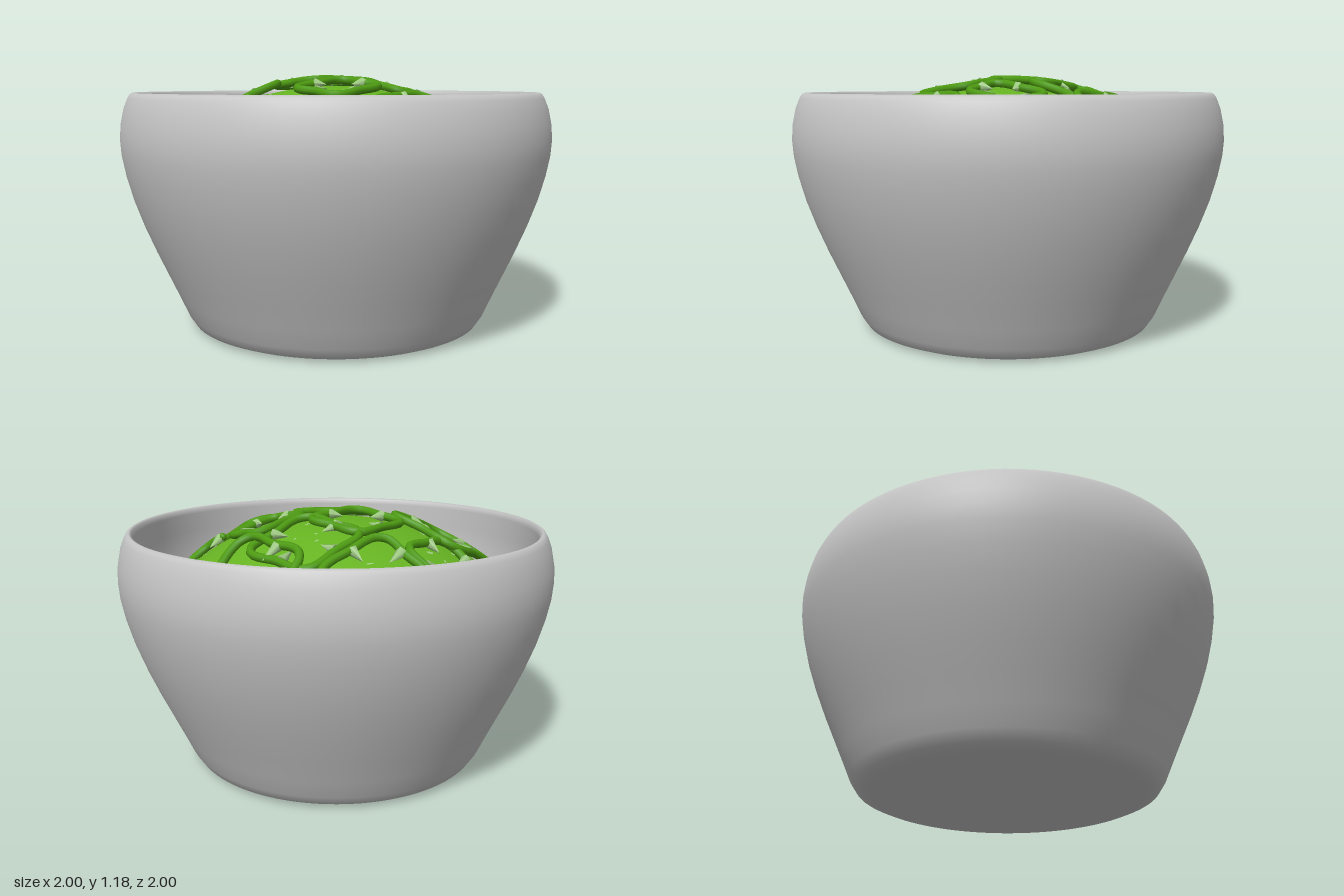
import * as THREE from 'three';

const mat = (name, color) => Object.assign(new THREE.MeshStandardMaterial({ color }), { name });
const bowlGrey = mat('bowl grey', 0xc6c6c6);
const leafGreen = mat('leaf green', 0x66b322);
const skinGreen = mat('pepper skin green', 0x4d9a12);
const paleGreen = mat('pale pith green', 0xa0cc84);

// Mound of greens: half an ellipsoid
const R = 0.82, BASE = 0.63, RISE = 0.5;
function height(x, z) {
  const r = Math.min(Math.hypot(x, z), 0.8);
  return BASE + RISE * Math.sqrt(1 - (r / R) ** 2);
}
function slope(x, z) {
  const k = -(RISE * RISE) / (R * R * (height(x, z) - BASE));
  return [k * x, k * z];
}

function mesh(name, geometry, material) {
  const m = new THREE.Mesh(geometry, material);
  m.name = name;
  return m;
}

function lathe(points, segments) {
  return new THREE.LatheGeometry(points.map(([x, y]) => new THREE.Vector2(x, y)), segments);
}

let seed = 7;
function random() {
  seed = (seed * 16807) % 2147483647;
  return seed / 2147483647;
}

// A four-lobed pepper slice lying on the mound, with pith ribs pointing inward
function pepperRing({ at: [cx, cz], half: [w, d], lift = 0.012, arc = null, turn = 0 }) {
  const group = new THREE.Group();
  group.name = 'pepperRing';
  const tube = 0.019;
  const [sx, sz] = slope(cx, cz);
  const top = height(cx, cz);
  const place = (a, scale = 1) => {
    const c = Math.cos(a), s = Math.sin(a);
    const squircle = 1 / (c ** 4 + s ** 4) ** 0.25;
    const lobe = (squircle - 0.055 * Math.cos(4 * a) + 0.025 * Math.sin(3 * a + cx * 9)) * scale;
    const u = c * lobe * (w - tube), v = s * lobe * (d - tube);
    const dx = u * Math.cos(turn) - v * Math.sin(turn);
    const dz = u * Math.sin(turn) + v * Math.cos(turn);
    const x = cx + dx, z = cz + dz;
    const plane = top + sx * dx + sz * dz;
    return new THREE.Vector3(x, plane * 0.6 + height(x, z) * 0.4 + lift, z);
  };
  const [from, to] = arc ?? [0, Math.PI * 2];
  const count = 28, points = [];
  for (let i = 0; i < count; i++) {
    points.push(place(from + (to - from) * i / (arc ? count - 1 : count)));
  }
  const curve = new THREE.CatmullRomCurve3(points, !arc);
  group.add(mesh('pepperSkin', new THREE.TubeGeometry(curve, 72, tube, 8, !arc), skinGreen));
  if (arc) {
    for (const end of [points[0], points[count - 1]]) {
      const cap = mesh('skinEnd', new THREE.SphereGeometry(tube, 8, 6), skinGreen);
      cap.position.copy(end);
      group.add(cap);
    }
  }
  for (let i = 0; i < 4; i++) {
    const a = i * Math.PI / 2 + 0.18 * Math.sin(i * 2 + cx * 7);
    if (arc && ![a, a + Math.PI * 2, a - Math.PI * 2].some(t => t >= from && t <= to)) continue;
    const outer = place(a, 0.97), inner = place(a, 0.5);
    const dir = inner.clone().sub(outer);
    const rib = mesh('pithRib', new THREE.ConeGeometry(0.026, dir.length(), 6), paleGreen);
    rib.position.copy(outer).add(inner).multiplyScalar(0.5);
    rib.quaternion.setFromUnitVectors(new THREE.Vector3(0, 1, 0), dir.normalize());
    group.add(rib);
  }
  return group;
}

export function createModel() {
  const model = new THREE.Group();
  model.name = 'saladBowl';

  // Bowl: underside, outer wall, rounded rim, inner wall
  model.add(mesh('bowl', lathe([
    [0, 0.005], [0.6, 0.005], [0.645, 0.008], [0.685, 0.025], [0.715, 0.07], [0.755, 0.16],
    [0.805, 0.27], [0.855, 0.38], [0.905, 0.5], [0.948, 0.62], [0.978, 0.73], [0.995, 0.82],
    [1, 0.89], [0.995, 0.96], [0.98, 1.03], [0.962, 1.075], [0.952, 1.092], [0.94, 1.1],
    [0.928, 1.094], [0.922, 1.07], [0.925, 0.98], [0.92, 0.88], [0.9, 0.78], [0.87, 0.68],
    [0.82, 0.55], [0.72, 0.32], [0.6, 0.14], [0.4, 0.1], [0, 0.1],
  ], 96), bowlGrey));

  // Mound with a short skirt reaching the wall
  const profile = [[R, 0.5]];
  for (let i = 0; i <= 16; i++) {
    const a = i / 16 * Math.PI / 2;
    profile.push([i === 16 ? 0 : R * Math.cos(a), BASE + RISE * Math.sin(a)]);
  }
  model.add(mesh('greensMound', lathe(profile, 40), leafGreen));

  // Pepper slices
  const rings = [
    { at: [-0.07, -0.65], half: [0.2, 0.2], lift: 0.035 },
    { at: [-0.13, -0.35], half: [0.2, 0.21], lift: 0.02 },
    { at: [-0.5, -0.34], half: [0.17, 0.22], lift: 0.025, turn: 0.1 },
    { at: [-0.6, 0.06], half: [0.16, 0.18] },
    { at: [-0.15, -0.03], half: [0.17, 0.19], lift: 0.025 },
    { at: [-0.35, 0.37], half: [0.2, 0.21], lift: 0.02 },
    { at: [0.16, 0.16], half: [0.15, 0.18], lift: 0.02 },
    { at: [0.24, -0.21], half: [0.125, 0.17], lift: 0.016 },
    { at: [0.44, -0.47], half: [0.16, 0.19], arc: [-2.2, 1.5] },
    { at: [0.56, 0.06], half: [0.17, 0.21], lift: 0.016 },
    { at: [0.44, 0.41], half: [0.12, 0.12], lift: -0.01, turn: 0.4 },
    { at: [0, 0.6], half: [0.18, 0.19], lift: 0.016, arc: [-0.7, 4] },
  ];
  for (const ring of rings) model.add(pepperRing(ring));

  // Pale flecks scattered over the greens
  const flecks = new THREE.Group();
  flecks.name = 'flecks';
  const shape = new THREE.CircleGeometry(1, 5);
  for (let i = 0; i < 90; i++) {
    const r = 0.76 * Math.sqrt(random()), a = random() * Math.PI * 2;
    const x = r * Math.cos(a), z = r * Math.sin(a);
    const [gx, gz] = slope(x, z);
    const normal = new THREE.Vector3(-gx, 1, -gz).normalize();
    const fleck = mesh('fleck', shape, paleGreen);
    fleck.position.set(x, height(x, z), z).addScaledVector(normal, 0.003);
    fleck.quaternion.setFromUnitVectors(new THREE.Vector3(0, 0, 1), normal);
    fleck.scale.set(0.004 + 0.007 * random(), 0.006 + 0.014 * random(), 1);
    flecks.add(fleck);
  }
  model.add(flecks);

  return model;
}
